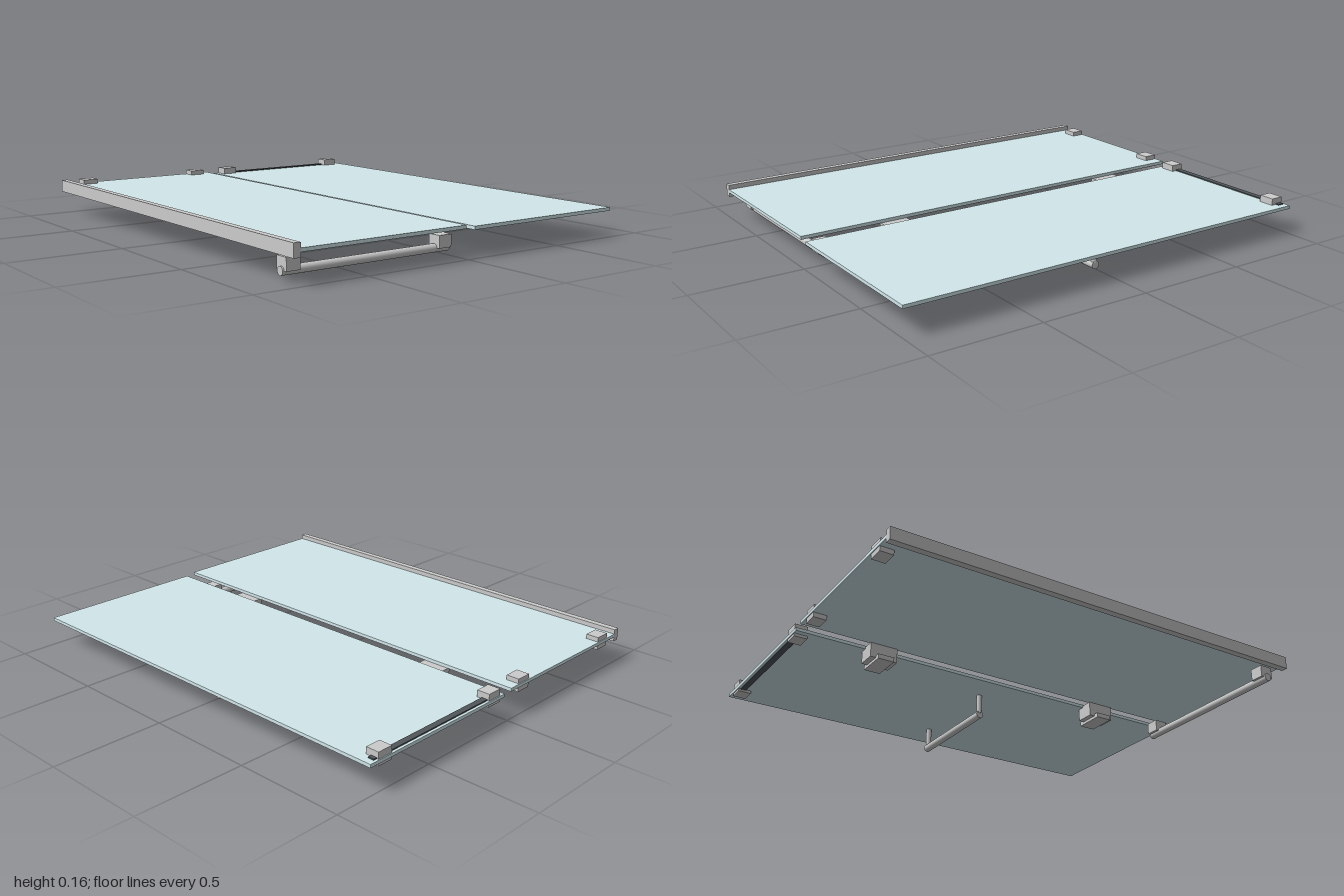
import * as THREE from 'three';

export function createModel() {
  const group = new THREE.Group();
  const metal = new THREE.MeshStandardMaterial({ color: 0xcccccc });
  const glass = new THREE.MeshStandardMaterial({ color: 0xd2e8ec });
  const dark = new THREE.MeshStandardMaterial({ color: 0x50565a });

  // Box given by its minimum and maximum on each axis
  function box(name, [x0, x1], [y0, y1], [z0, z1], material = metal) {
    const mesh = new THREE.Mesh(new THREE.BoxGeometry(x1 - x0, y1 - y0, z1 - z0), material);
    mesh.position.set((x0 + x1) / 2, (y0 + y1) / 2, (z0 + z1) / 2);
    mesh.name = name;
    group.add(mesh);
  }

  // Round bar along x
  function barX(name, x0, x1, y, z, radius) {
    const mesh = new THREE.Mesh(new THREE.CylinderGeometry(radius, radius, x1 - x0, 32), metal);
    mesh.rotation.z = Math.PI / 2;
    mesh.position.set((x0 + x1) / 2, y, z);
    mesh.name = name;
    group.add(mesh);
  }

  // Fixed panel, door panel and the wall channel
  box('fixedPanel', [-0.8, -0.015], [0.125, 0.14], [-1, 1], glass);
  box('doorPanel', [0.03, 0.83], [0.116, 0.131], [-1, 1], glass);
  box('wallChannel', [-0.83, -0.8], [0.105, 0.161], [-1, 1]);

  // Clamps along the rear edge
  for (const x of [-0.706, -0.106, 0.092, 0.747]) {
    box('clamp', [x - 0.036, x + 0.036], [0.103, 0.161], [-0.996, -0.936]);
  }

  // Dark seal strip across the door's rear edge
  box('sealStrip', [0.1, 0.8], [0.113, 0.136], [-0.988, -0.96], dark);

  // Hinges in the gap: a block with a narrower plate below
  for (const z of [-0.611, 0.561]) {
    box('hingeBlock', [-0.025, 0.062], [0.058, 0.125], [z - 0.064, z + 0.064]);
    box('hingePlate', [-0.05, 0.088], [0.045, 0.067], [z - 0.038, z + 0.038]);
  }

  // Support bar with its two end blocks
  barX('supportBar', -0.815, -0.015, 0.04, 0.89, 0.018);
  box('supportBlock', [-0.808, -0.747], [0.041, 0.094], [0.859, 0.921]);
  box('supportBlock', [-0.083, -0.02], [0.041, 0.094], [0.859, 0.921]);

  // Door handle: bar on two posts
  barX('handleBar', 0.175, 0.685, 0.018, 0, 0.018);
  for (const x of [0.184, 0.674]) {
    const post = new THREE.Mesh(new THREE.CylinderGeometry(0.013, 0.013, 0.092, 24), metal);
    post.position.set(x, 0.071, 0);
    post.name = 'handlePost';
    group.add(post);
  }

  return group;
}
